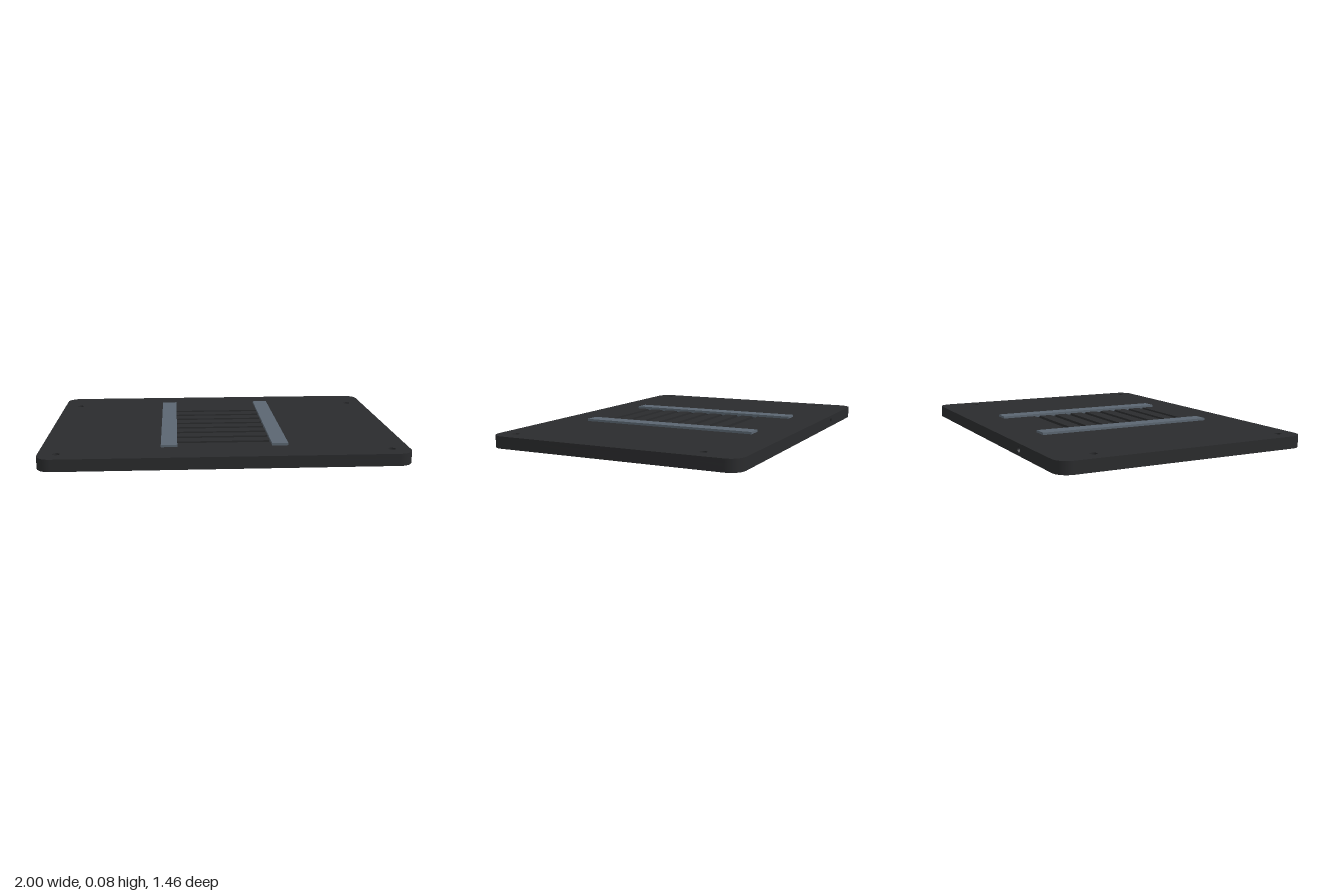
import * as THREE from 'three';
import { toCreasedNormals } from 'three/addons/utils/BufferGeometryUtils.js';

const W = 1, D = 0.73, R = 0.08, H = 0.067;     // half width, half depth, corner radius, height
const FLOOR = 0.045;                            // level of the groove floors
const PORT = { x: -0.5, half: 0.03, depth: 0.1, r: 0.018 };

const shell = new THREE.MeshStandardMaterial({ color: 0x2a2b2d });
const strip = new THREE.MeshStandardMaterial({ color: 0x5b6671 });

function circleHole(x, y, r) {
  const p = new THREE.Path();
  p.absarc(x, y, r, 0, Math.PI * 2, true);
  return p;
}

function rectHole(x0, x1, y0, y1) {
  return new THREE.Path([[x0, y0], [x0, y1], [x1, y1], [x1, y0]].map(([x, y]) => new THREE.Vector2(x, y)));
}

function extrude(shape, depth) {
  const g = new THREE.ExtrudeGeometry(shape, { depth, bevelEnabled: false, curveSegments: 12 });
  return toCreasedNormals(g, 0.5);
}

// Rounded outline with a notch at the back for the port block; shape y is -z
function plateShape() {
  const s = new THREE.Shape();
  s.moveTo(-W + R, -D);
  s.lineTo(W - R, -D);
  s.absarc(W - R, -D + R, R, -Math.PI / 2, 0, false);
  s.lineTo(W, D - R);
  s.absarc(W - R, D - R, R, 0, Math.PI / 2, false);
  s.lineTo(PORT.x + PORT.half, D);
  s.lineTo(PORT.x + PORT.half, D - PORT.depth);
  s.lineTo(PORT.x - PORT.half, D - PORT.depth);
  s.lineTo(PORT.x - PORT.half, D);
  s.lineTo(-W + R, D);
  s.absarc(-W + R, D - R, R, Math.PI / 2, Math.PI, false);
  s.lineTo(-W, -D + R);
  s.absarc(-W + R, -D + R, R, Math.PI, Math.PI * 1.5, false);
  // screw holes
  for (const x of [-0.9, 0.9]) for (const z of [-0.5, 0.63]) s.holes.push(circleHole(x, -z, 0.02));
  return s;
}

export function createModel() {
  const group = new THREE.Group();
  const add = (name, geometry, material, x = 0, y = 0, z = 0) => {
    const m = new THREE.Mesh(geometry, material);
    m.name = name;
    m.position.set(x, y, z);
    group.add(m);
    return m;
  };

  // Solid lower part of the plate
  add('plateBase', extrude(plateShape(), FLOOR), shell).rotation.x = -Math.PI / 2;

  // Upper part, cut by eight ventilation grooves
  const top = plateShape();
  for (let i = 0; i < 8; i++) {
    const z = 0.063 + (i - 3.5) * 0.1067;
    top.holes.push(rectHole(-0.262, 0.262, -z - 0.0165, -z + 0.0165));
  }
  add('groovedTop', extrude(top, H - FLOOR), shell, 0, FLOOR, 0).rotation.x = -Math.PI / 2;

  // Block with a round cable port, set flush in the back edge
  const block = new THREE.Shape();
  block.moveTo(-PORT.half, 0);
  block.lineTo(PORT.half, 0);
  block.lineTo(PORT.half, H);
  block.lineTo(-PORT.half, H);
  block.closePath();
  block.holes.push(circleHole(0, H / 2, PORT.r));
  add('cablePort', extrude(block, PORT.depth), shell, PORT.x, 0, -D);

  // Raised support strips either side of the grooves
  for (const side of [-1, 1]) {
    add(side > 0 ? 'leftStrip' : 'rightStrip', new THREE.BoxGeometry(0.09, 0.02, 1.06), strip, side * 0.305, 0.07, 0);
  }
  return group;
}
